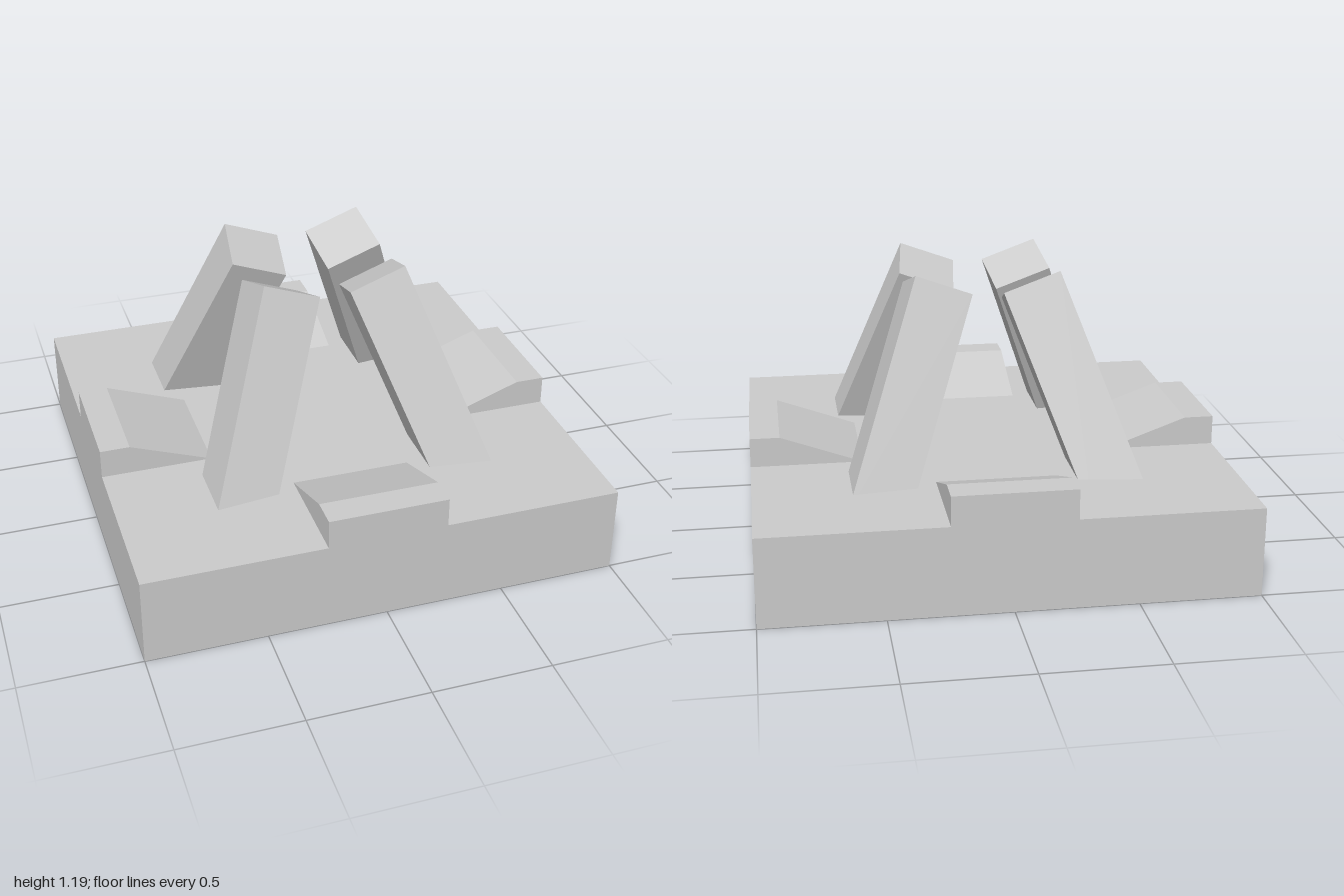
import * as THREE from 'three';

export function createModel() {
  const model = new THREE.Group();
  const stone = new THREE.MeshStandardMaterial({ color: 0xcccccc });
  stone.name = 'pale grey stone';

  const add = (geometry, name) => {
    const mesh = new THREE.Mesh(geometry, stone);
    mesh.name = name;
    model.add(mesh);
    return mesh;
  };

  // Square slab
  const slabHeight = 0.375;
  add(new THREE.BoxGeometry(2, slabHeight, 2), 'baseSlab').position.y = slabHeight / 2;

  // Ramp at the middle of each side, flat at the rim and sloping inwards
  const profile = new THREE.Shape([
    new THREE.Vector2(0.53, slabHeight),
    new THREE.Vector2(1, slabHeight),
    new THREE.Vector2(1, 0.5),
    new THREE.Vector2(0.875, 0.5),
  ]);
  const rampGeometry = new THREE.ExtrudeGeometry(profile, { depth: 0.5, bevelEnabled: false });
  rampGeometry.translate(0, 0, -0.25);
  ['leftRamp', 'backRamp', 'rightRamp', 'frontRamp'].forEach((name, i) => {
    add(rampGeometry, name).rotation.y = (i * Math.PI) / 2;
  });

  // Four square pillars leaning to the centre, their feet sunk in the slab
  const lean = THREE.MathUtils.degToRad(20);
  const pillarGeometry = new THREE.BoxGeometry(0.25, 1, 0.25);
  for (const sx of [1, -1]) {
    for (const sz of [1, -1]) {
      const name = (sz > 0 ? 'front' : 'back') + (sx > 0 ? 'Left' : 'Right') + 'Pillar';
      const pillar = add(pillarGeometry, name);
      pillar.position.set(sx * 0.358, 0.665, sz * 0.363);
      pillar.rotation.set(-sz * lean, 0, sx * lean, 'ZXY');
    }
  }

  return model;
}
